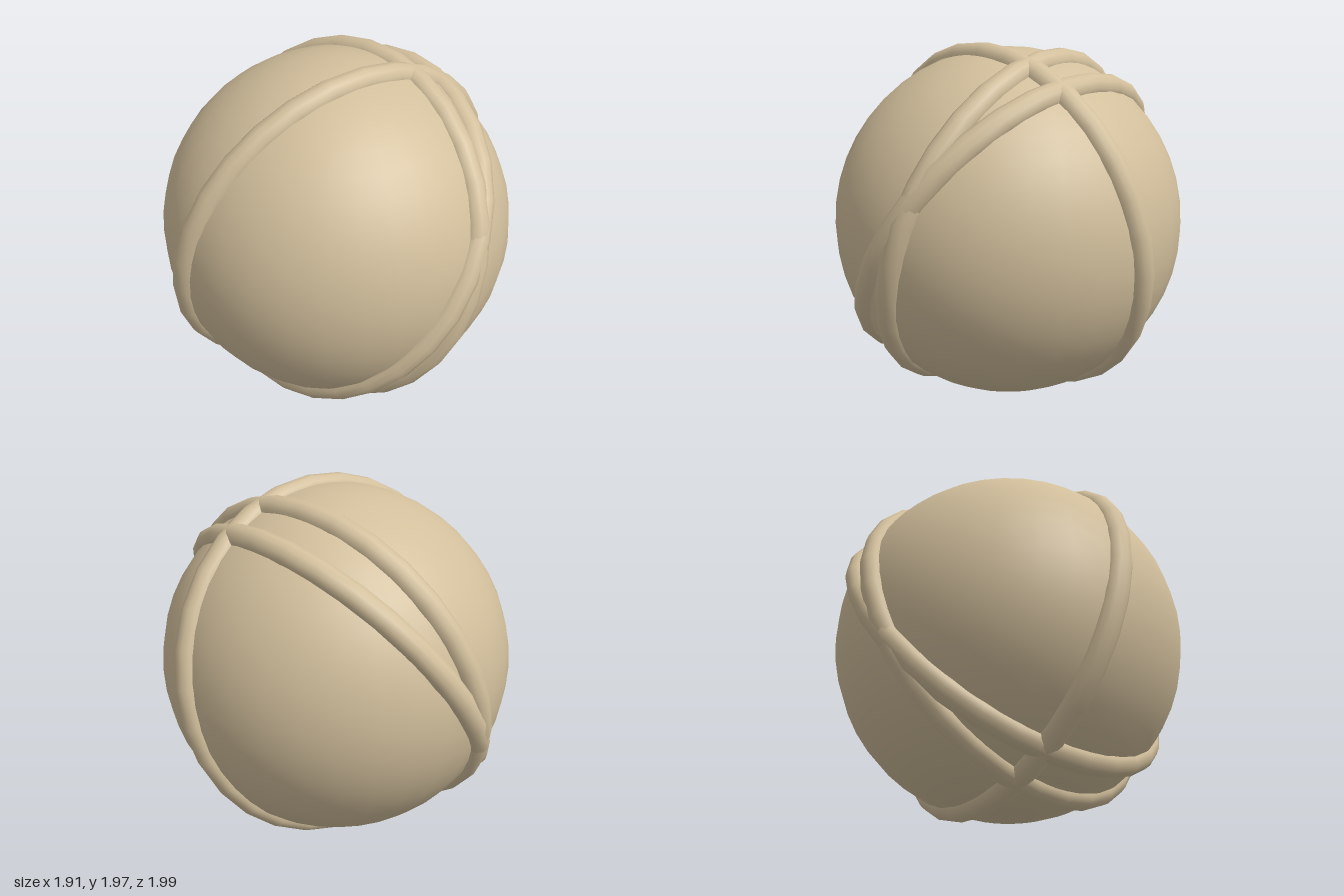
import * as THREE from 'three';

const CENTER_Y = 0.99;

export function createModel() {
  const model = new THREE.Group();
  const tan = new THREE.MeshStandardMaterial({ color: 0xd2bf9c });
  tan.name = 'tan';

  // Smooth round body
  const ball = new THREE.Mesh(new THREE.SphereGeometry(0.957, 32, 24), tan);
  ball.name = 'ball';
  ball.position.y = CENTER_Y;
  model.add(ball);

  // Half-sunk great-circle bands, each given by the normal of its plane
  const bandGeometry = new THREE.TorusGeometry(0.938, 0.07, 12, 30);
  const axis = new THREE.Vector3(0, 0, 1);
  const bands = [
    ['steepBand', -1, 0.343, -0.147],
    ['leaningBand', -1, 0.707, -0.25],
    ['crossBand', 0.344, 0.225, -1],
  ];
  for (const [name, x, y, z] of bands) {
    const band = new THREE.Mesh(bandGeometry, tan);
    band.name = name;
    band.position.y = CENTER_Y;
    band.quaternion.setFromUnitVectors(axis, new THREE.Vector3(x, y, z).normalize());
    model.add(band);
  }
  return model;
}
